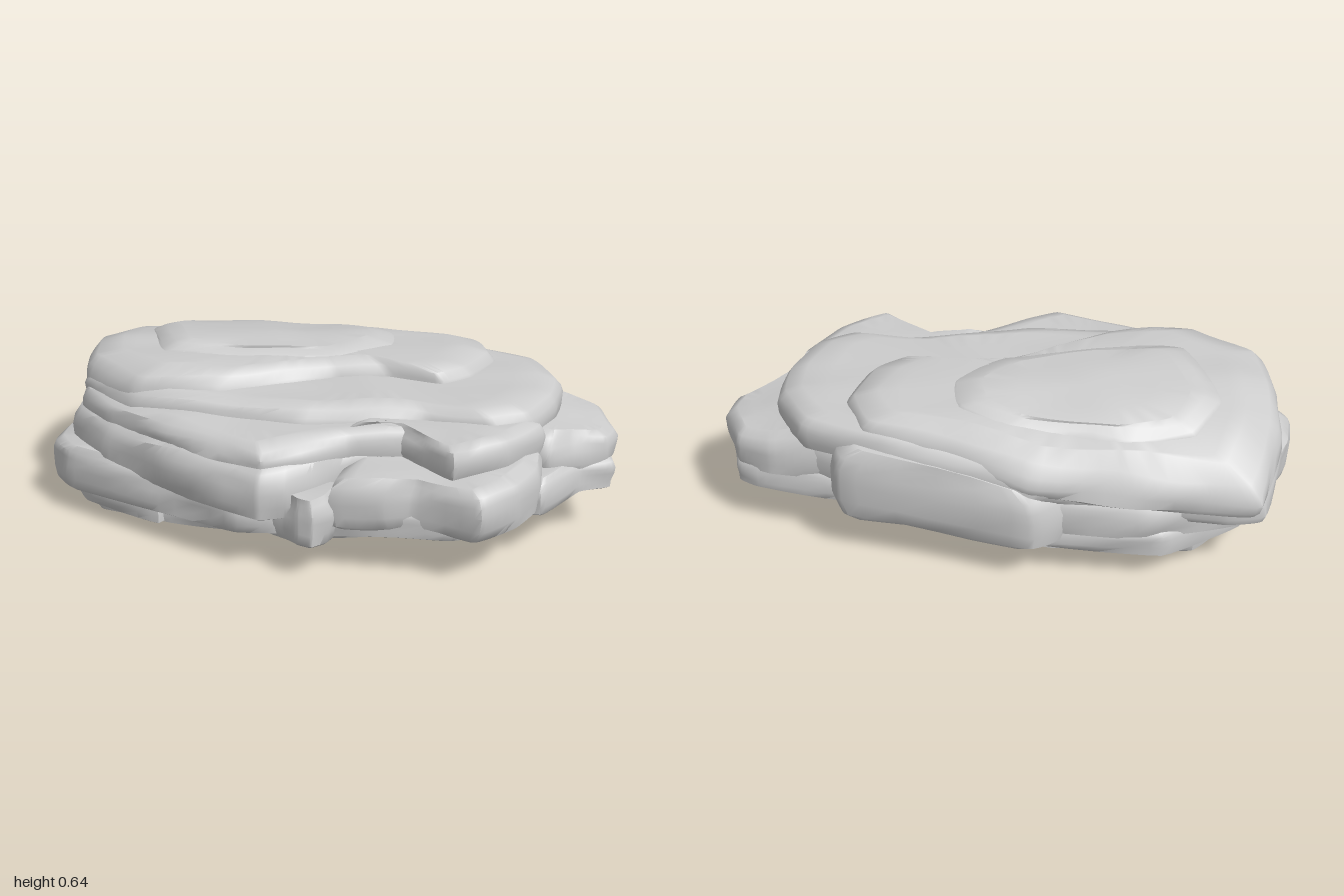
import * as THREE from 'three';
import { toCreasedNormals } from 'three/addons/utils/BufferGeometryUtils.js';

// Smooth, repeatable unevenness for the stone surface, about -1..1
const rough = (x, y, z) =>
  0.5 * Math.sin(7 * x + 3 * z + 5 * y) * Math.cos(6 * z - 4 * x + 1) +
  0.3 * Math.sin(15 * x - 11 * z + 9 * y + 2) +
  0.2 * Math.sin(23 * z + 13 * x - 17 * y);

const plane = ([c, sx = 0, sz = 0], x, z) => c + sx * x + sz * z;

// The upper strata sag towards the rear corner at -x, -z
function sag(x, y, z) {
  const u = Math.max(0, -z - 0.1 - 0.45 * (x + 0.3));
  return 0.6 * u * u * THREE.MathUtils.clamp((y - 0.15) / 0.4, 0, 1);
}

// One rock layer: an outline of [x, z] corners between two sloping planes,
// lofted from the middle of the underside to the middle of the top.
function slab(outline, lo, hi, bevel, seed) {
  const pts = outline.map(([x, z]) => new THREE.Vector2(x, z));
  if (THREE.ShapeUtils.area(pts) > 0) pts.reverse();
  const curve = new THREE.CatmullRomCurve3(
    pts.map(p => new THREE.Vector3(p.x, 0, p.y)), true, 'catmullrom', 0.14);
  const n = pts.length * 6;
  const rim = Array.from({ length: n }, (_, i) => curve.getPoint(i / n));
  const mid = rim.reduce((s, p) => s.add(p), new THREE.Vector3()).divideScalar(n);
  // [scale, inset in bevels, height fraction]
  const rings = [[0, 0, 0], [0.35, 0, 0], [0.7, 0, 0], [1, 0.9, 0], [1, 0.25, 0.07], [1, 0, 0.28],
    [1, 0, 0.55], [1, 0.12, 0.72], [1, 0.45, 0.88], [1, 1.5, 1], [0.75, 0, 1], [0.5, 0, 1], [0.25, 0, 1], [0, 0, 1]];
  const pos = [], idx = [];
  for (const [scale, inset, t] of rings) {
    for (const p of rim) {
      const d = p.clone().sub(mid), len = d.length();
      let r = len * scale;
      if (scale === 1) r = Math.max(len * 0.76, len - bevel * inset + 0.014 * rough(p.x + seed, t * 0.6, p.z) - 0.004);
      d.multiplyScalar(r / len).add(mid);
      const a = plane(lo, d.x, d.z), b = plane(hi, d.x, d.z);
      const y = a + (b - a) * t + 0.011 * rough(d.x + seed, 0.3 * t, d.z);
      pos.push(d.x, Math.max(0, y - sag(d.x, y, d.z)), d.z);
    }
  }
  for (let j = 0; j < rings.length - 1; j++) {
    for (let i = 0; i < n; i++) {
      const a = j * n + i, b = j * n + (i + 1) % n;
      if (j > 0) idx.push(a, b, b + n);
      if (j < rings.length - 2) idx.push(a, b + n, a + n);
    }
  }
  const g = new THREE.BufferGeometry();
  g.setAttribute('position', new THREE.Float32BufferAttribute(pos, 3));
  g.setIndex(idx);
  return toCreasedNormals(g, 0.75);
}

export function createModel() {
  const group = new THREE.Group();
  const stone = new THREE.MeshStandardMaterial({ color: 0xcccccc });
  let seed = 0;
  const add = (name, outline, lo, hi, bevel) => {
    const mesh = new THREE.Mesh(slab(outline, lo, hi, bevel, seed++ * 1.7), stone);
    mesh.name = name;
    group.add(mesh);
  };

  // Top plates
  add('summitPlate', [[-0.78, -0.08], [-0.72, -0.25], [-0.5, -0.36], [-0.1, -0.42], [0.1, -0.38], [0.15, -0.24],
    [0.02, -0.06], [-0.3, 0.1], [-0.6, 0.16]], [0.55], [0.622, -0.01, 0.03], 0.14);
  add('topPlate', [[-0.96, -0.34], [-0.8, -0.39], [-0.55, -0.46], [-0.2, -0.54], [0.1, -0.52], [0.4, -0.51],
    [0.5, -0.38], [0.47, -0.2], [0.39, -0.1], [0.2, -0.08], [0.02, 0], [-0.1, 0.11], [-0.32, 0.28],
    [-0.62, 0.37], [-0.86, 0.26], [-0.94, 0.1], [-0.99, -0.08]], [0.41, 0.04], [0.6, 0, 0.02], 0.085);
  add('upperLedge', [[-0.9, -0.28], [-0.5, -0.45], [-0.2, -0.54], [0.3, -0.54], [0.62, -0.5], [0.76, -0.36],
    [0.78, -0.2], [0.75, -0.02], [0.64, 0.08], [0.42, 0.12], [0.22, 0.2], [0, 0.3], [-0.3, 0.35],
    [-0.62, 0.38], [-0.87, 0.26]], [0.39], [0.54, 0, -0.01], 0.055);

  // Main body and the blocks around it
  add('frontShelf', [[-0.92, 0.1], [-0.87, 0.29], [-0.72, 0.38], [-0.45, 0.46], [-0.18, 0.51], [-0.03, 0.53],
    [0.08, 0.43], [0.2, 0.29], [0.45, 0.15], [0.4, -0.2], [-0.8, -0.1]], [0.35], [0.487, 0, -0.02], 0.05);
  add('mainBody', [[-0.95, 0.12], [-0.91, 0.3], [-0.72, 0.42], [-0.45, 0.49], [-0.18, 0.55], [-0.03, 0.575],
    [0.05, 0.52], [0.12, 0.42], [0.2, 0.3], [0.4, 0.2], [0.75, 0.1], [0.79, -0.2], [0.73, -0.44], [0.45, -0.51],
    [-0.2, -0.52], [-0.6, -0.44], [-0.93, -0.25]], [0.215, 0.03], [0.435, 0.01, -0.03], 0.05);
  add('rightUpperBlock', [[0.16, 0.26], [0.27, 0.18], [0.45, 0.26], [0.58, 0.31], [0.72, 0.15], [0.79, -0.05],
    [0.5, -0.1], [0.2, 0]], [0.36], [0.5], 0.045);
  add('rightFrontBlock', [[0.17, 0.25], [0.26, 0.16], [0.5, 0.05], [0.78, -0.05], [0.82, 0.08], [0.79, 0.22],
    [0.7, 0.365], [0.45, 0.365], [0.36, 0.41], [0.18, 0.46]], [0.19], [0.41, 0, -0.08], 0.045);
  add('rightRearBlock', [[0.5, -0.47], [0.74, -0.51], [0.88, -0.48], [0.98, -0.33], [0.975, -0.23],
    [0.87, -0.12], [0.8, -0.04], [0.5, -0.05]], [0.25], [0.56, -0.16, 0.02], 0.045);
  add('rightRearFoot', [[0.45, -0.48], [0.8, -0.5], [0.89, -0.47], [1, -0.24], [0.9, -0.14],
    [0.82, 0.08], [0.5, 0.1]], [0.18], [0.31], 0.025);
  add('backBlock', [[-0.22, -0.572], [0.46, -0.572], [0.52, -0.48], [0.4, -0.3], [-0.2, -0.3], [-0.32, -0.48]],
    [0.17, 0.02], [0.48], 0.055);
  add('frontNub', [[-0.09, 0.46], [0.03, 0.5], [0.1, 0.53], [0.16, 0.53], [0.2, 0.46], [0.2, 0.34], [-0.06, 0.32]],
    [0.13], [0.32], 0.04);
  add('leftEndBlock', [[-0.97, -0.3], [-0.99, -0.08], [-0.93, 0.14], [-0.6, 0.15], [-0.6, -0.38], [-0.84, -0.36]],
    [0.28], [0.51], 0.05);

  // Stepped underside
  add('lowerLedge', [[-1, 0.18], [-0.99, 0.33], [-0.88, 0.41], [-0.5, 0.48], [-0.15, 0.53], [0.05, 0.48],
    [0.25, 0.42], [0.6, 0.33], [0.76, 0.2], [0.8, -0.1], [0.74, -0.38], [0.45, -0.49], [-0.2, -0.5],
    [-0.65, -0.42], [-0.88, -0.18]], [0.135, 0.045], [0.275], 0.03);
  add('lowerFrontLeftBlock', [[-0.96, 0.1], [-0.95, 0.28], [-0.82, 0.4], [-0.48, 0.455], [-0.46, 0.2], [-0.6, 0]],
    [0.05], [0.18], 0.03);
  add('lowerRightPlate', [[-0.3, -0.4], [0.2, -0.46], [0.5, -0.38], [0.66, -0.1], [0.6, 0.2], [0.3, 0.35],
    [0.1, 0.4], [-0.3, 0.34]], [0.085, 0.11], [0.2, 0.05], 0.03);
  add('lowerRearPlate', [[-0.82, -0.1], [-0.74, -0.28], [-0.4, -0.38], [0, -0.37], [0.14, -0.25], [0.1, 0], [-0.5, 0.05]],
    [0.075, 0.06, -0.03], [0.2], 0.03);
  add('bottomPlate', [[-0.88, 0.1], [-0.86, 0.3], [-0.76, 0.4], [-0.45, 0.44], [-0.15, 0.42], [0.2, 0.3],
    [0.18, 0.02], [-0.1, -0.1], [-0.4, -0.14], [-0.75, -0.12]], [0.06, 0.08, 0.07], [0.17], 0.035);
  return group;
}
